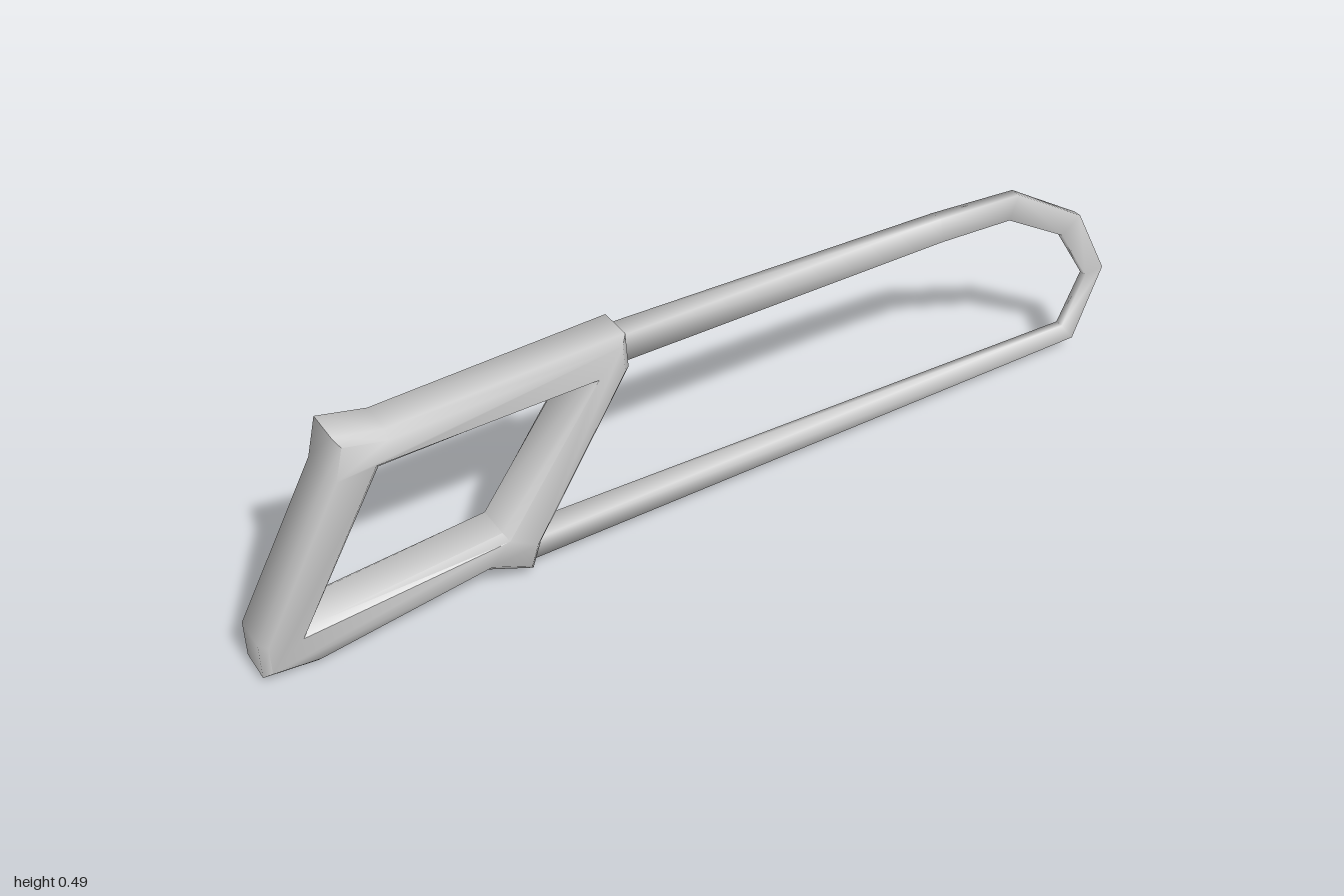
import * as THREE from 'three';
import { toCreasedNormals } from 'three/addons/utils/BufferGeometryUtils.js';

const toPoints = (list) => list.map(([x, y]) => new THREE.Vector2(x, y));

// Chamfered grip: a skewed four-sided ring with flared corners
function handleGeometry() {
  const shape = new THREE.Shape(toPoints([
    [-1, 0.01], [-0.89, 0], [-0.535, 0.055], [-0.44, 0.015], [-0.42, 0.075],
    [-0.215, 0.41], [-0.22, 0.488], [-0.71, 0.465], [-0.81, 0.487],
    [-0.83, 0.405], [-1, 0.09],
  ]));
  shape.holes.push(new THREE.Path(toPoints([
    [-0.9, 0.09], [-0.73, 0.39], [-0.305, 0.405], [-0.5, 0.13],
  ])));
  const bevel = 0.015, half = 0.052;
  const geo = new THREE.ExtrudeGeometry(shape, {
    depth: 2 * (half - bevel), bevelEnabled: true, bevelSegments: 1,
    bevelSize: bevel, bevelThickness: bevel, bevelOffset: -bevel,
  });
  geo.translate(0, 0, bevel - half);
  return toCreasedNormals(geo, 0.9);
}

// Bow: a four-sided bar swept between outer and inner outlines, thinning to the tip
function bowGeometry() {
  // outer x, outer y, inner x, inner y
  const stations = [
    [-0.26, 0.475, -0.26, 0.415], [0.53, 0.475, 0.54, 0.418],
    [0.735, 0.465, 0.715, 0.41], [0.915, 0.355, 0.87, 0.32],
    [1, 0.195, 0.952, 0.19], [0.935, 0.03, 0.9, 0.075],
    [-0.45, 0.028, -0.45, 0.075],
  ];
  const halfDepth = (x) => THREE.MathUtils.mapLinear(x, -0.22, 1, 0.025, 0.008);
  const pos = [], index = [];
  stations.forEach(([ox, oy, ix, iy], s) => {
    const a = halfDepth(ox), b = halfDepth(ix);
    pos.push(ox, oy, a, ox, oy, -a, ix, iy, -b, ix, iy, b);
    if (s === 0) return;
    for (let k = 0; k < 4; k++) {
      const p = (s - 1) * 4 + k, q = (s - 1) * 4 + (k + 1) % 4;
      index.push(p, p + 4, q, q, p + 4, q + 4);
    }
  });
  const geo = new THREE.BufferGeometry();
  geo.setAttribute('position', new THREE.Float32BufferAttribute(pos, 3));
  geo.setIndex(index);
  geo.computeVertexNormals();
  return geo;
}

export function createModel() {
  const group = new THREE.Group();
  const material = new THREE.MeshStandardMaterial({ color: 0xcccccc });
  const add = (name, geometry) => {
    const mesh = new THREE.Mesh(geometry, material);
    mesh.name = name;
    group.add(mesh);
  };
  add('handle', handleGeometry());
  add('bow', bowGeometry());
  return group;
}
